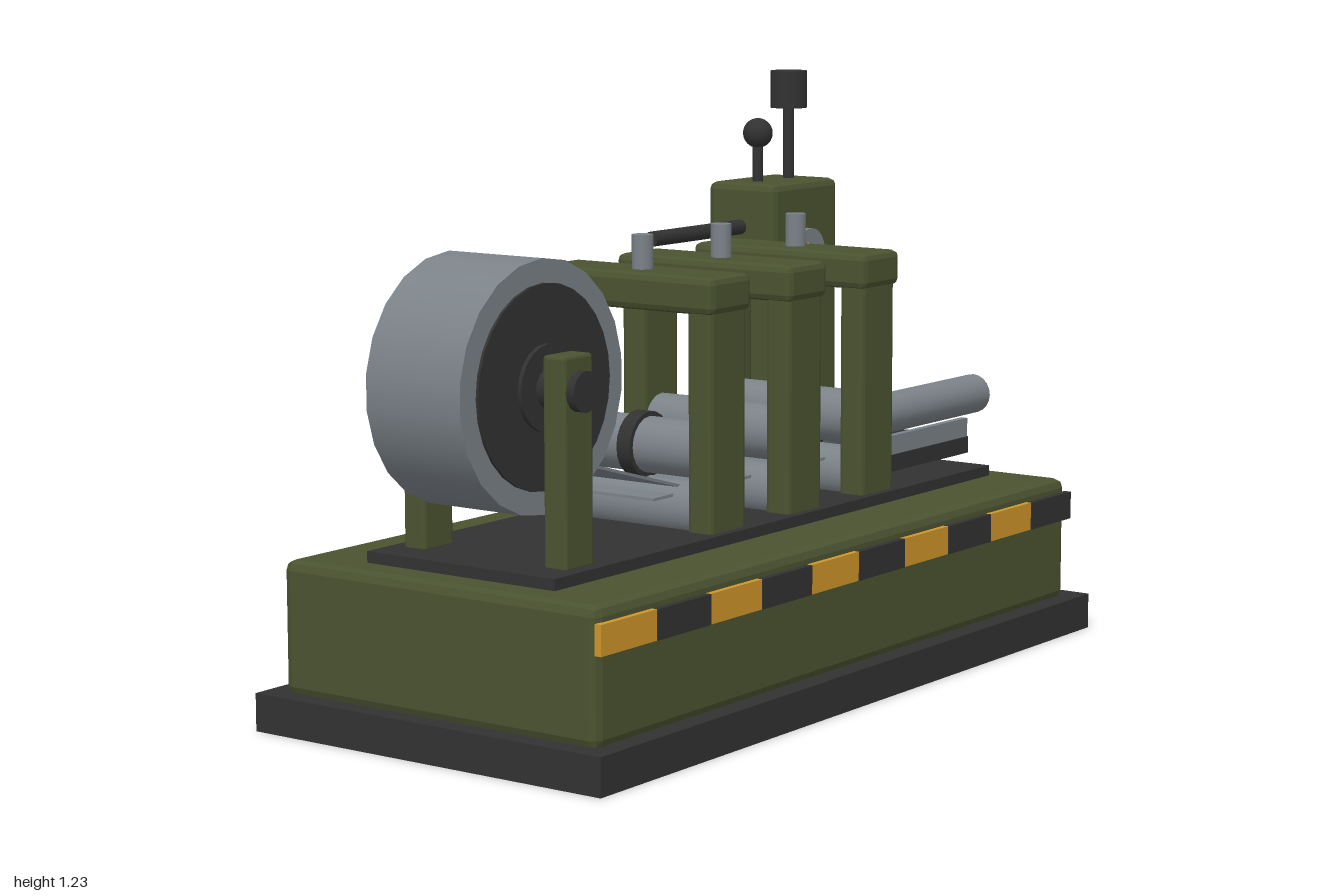
import * as THREE from 'three';
import { RoundedBoxGeometry } from 'three/addons/geometries/RoundedBoxGeometry.js';

const paint = (name, color) => {
  const m = new THREE.MeshStandardMaterial({ color });
  m.name = name;
  return m;
};

export function createModel() {
  const olive = paint('olive paint', 0x4a5330);
  const dark = paint('dark metal', 0x323233);
  const steel = paint('steel', 0x7b8288);
  const amber = paint('amber paint', 0xcf9629);
  const tubeSteel = steel.clone();
  tubeSteel.name = 'open tube steel';
  tubeSteel.side = THREE.DoubleSide;

  const model = new THREE.Group();
  model.name = 'tubeMill';

  const add = (name, geometry, material, x, y, z, parent = model) => {
    const mesh = new THREE.Mesh(geometry, material);
    mesh.name = name;
    mesh.position.set(x, y, z);
    parent.add(mesh);
    return mesh;
  };
  // Box given by its limits; a bevel gives softened edges
  const box = (name, material, [x0, x1], [y0, y1], [z0, z1], bevel = 0, parent = model) => {
    const size = [x1 - x0, y1 - y0, z1 - z0];
    const g = bevel ? new RoundedBoxGeometry(...size, 1, bevel) : new THREE.BoxGeometry(...size);
    if (bevel) g.computeVertexNormals();
    return add(name, g, material, (x0 + x1) / 2, (y0 + y1) / 2, (z0 + z1) / 2, parent);
  };
  // Cylinder along the chosen axis
  const rod = (name, material, axis, r, length, x, y, z, sides = 20, parent = model) => {
    const g = new THREE.CylinderGeometry(r, r, length, sides);
    if (axis === 'x') g.rotateZ(-Math.PI / 2);
    if (axis === 'z') g.rotateX(Math.PI / 2);
    return add(name, g, material, x, y, z, parent);
  };

  // Base, housing and deck
  box('basePlate', dark, [-0.985, 0.8], [0, 0.077], [-0.428, 0.428]);
  box('housing', olive, [-0.945, 0.76], [0.07, 0.342], [-0.388, 0.388], 0.02);
  box('deckPlate', dark, [-0.87, 0.687], [0.335, 0.365], [-0.233, 0.233]);

  // Warning stripe along the front
  const step = 0.1705;
  for (let i = 0; i < 10; i++) {
    const x = -0.945 + i * step;
    const yellow = i % 2 === 0;
    box(yellow ? 'amberStripe' : 'darkStripe', yellow ? amber : dark,
      [x, x + step], [0.252, 0.312], [0.385, yellow ? 0.4 : 0.402]);
  }

  // Coil of strip on its stand
  const coil = new THREE.Group();
  coil.name = 'coil';
  model.add(coil);
  const cx = -0.753, cy = 0.703;
  rod('coilWinding', steel, 'z', 0.247, 0.23, cx, cy, 0, 22, coil);
  rod('coilDrum', dark, 'z', 0.2, 0.242, cx, cy, 0, 28, coil);
  rod('drumHub', dark, 'z', 0.085, 0.26, cx, cy, 0, 20, coil);
  rod('coilAxle', dark, 'z', 0.04, 0.44, cx, cy, 0, 16, coil);
  for (const s of [-1, 1]) {
    const z = s * 0.175;
    box('coilPost', olive, [cx - 0.043, cx + 0.043], [0.36, 0.772], [z - 0.027, z + 0.027], 0.006, coil);
  }

  // Strip running from the coil through the rollers
  const from = new THREE.Vector2(-0.62, 0.536), to = new THREE.Vector2(-0.28, 0.44);
  const run = to.clone().sub(from);
  const feed = add('feedStrip', new THREE.BoxGeometry(run.length(), 0.006, 0.224), steel,
    (from.x + to.x) / 2, (from.y + to.y) / 2, 0);
  feed.rotation.z = run.angle();
  box('flatStrip', steel, [-0.4, 0.37], [0.43, 0.436], [-0.111, 0.111]);

  // Three roller stands
  for (const x of [-0.286, -0.014, 0.26]) {
    const stand = new THREE.Group();
    stand.name = 'rollerStand';
    stand.position.x = x;
    model.add(stand);
    for (const s of [-1, 1]) {
      const z = s * 0.185;
      box('standPost', olive, [-0.061, 0.061], [0.355, 0.83], [z - 0.03, z + 0.03], 0.01, stand);
    }
    box('standCap', olive, [-0.07, 0.07], [0.805, 0.88], [-0.223, 0.223], 0.014, stand);
    rod('adjusterScrew', steel, 'y', 0.022, 0.08, 0, 0.91, 0, 12, stand);
    rod('upperRoller', steel, 'z', 0.058, 0.32, 0, 0.522, 0, 20, stand);
    rod('rollerCollar', dark, 'z', 0.068, 0.034, 0, 0.522, 0, 20, stand);
    rod('lowerRoller', steel, 'z', 0.058, 0.32, 0, 0.4, 0, 20, stand);
  }

  // Finished tube, open at the end with a dark bore
  const r = 0.045;
  const wall = new THREE.CylinderGeometry(r, r, 0.69, 20, 1, true).rotateZ(-Math.PI / 2);
  add('tube', wall, tubeSteel, 0.653, 0.47, 0);
  rod('tubeBore', dark, 'x', 0.041, 0.688, 0.653, 0.47, 0);
  const rim = new THREE.RingGeometry(0.041, r, 20).rotateY(Math.PI / 2);
  add('tubeRim', rim, tubeSteel, 0.998, 0.47, 0);

  // Run-out tray with side rails
  box('outfeedTray', dark, [0.42, 0.762], [0.374, 0.411], [-0.132, 0.132]);
  for (const s of [-1, 1]) {
    const z = s * 0.121;
    box('trayRail', steel, [0.42, 0.762], [0.405, 0.453], [z - 0.008, z + 0.008]);
  }

  // Control tower
  const tower = new THREE.Group();
  tower.name = 'controlTower';
  model.add(tower);
  box('towerCabinet', olive, [0.516, 0.775], [0.345, 0.98], [-0.419, -0.235], 0.016, tower);
  rod('gauge', steel, 'z', 0.057, 0.02, 0.646, 0.817, -0.232, 20, tower);
  const needle = add('gaugeNeedle', new THREE.BoxGeometry(0.05, 0.009, 0.004), amber, 0.646, 0.82, -0.2205, tower);
  needle.rotation.z = -0.85;
  box('button', dark, [0.557, 0.61], [0.597, 0.65], [-0.24, -0.222], 0, tower);

  // Lever, knob and side arm
  const tz = -0.328;
  rod('leverStem', dark, 'y', 0.012, 0.13, 0.585, 1.03, tz, 12, tower);
  add('leverBall', new THREE.SphereGeometry(0.034, 18, 12), dark, 0.585, 1.09, tz, tower);
  rod('knobStem', dark, 'y', 0.013, 0.19, 0.708, 1.06, tz, 12, tower);
  rod('knob', dark, 'y', 0.042, 0.085, 0.708, 1.184, tz, 20, tower);
  rod('sideArm', dark, 'x', 0.017, 0.35, 0.355, 0.881, tz, 12, tower);

  return model;
}
